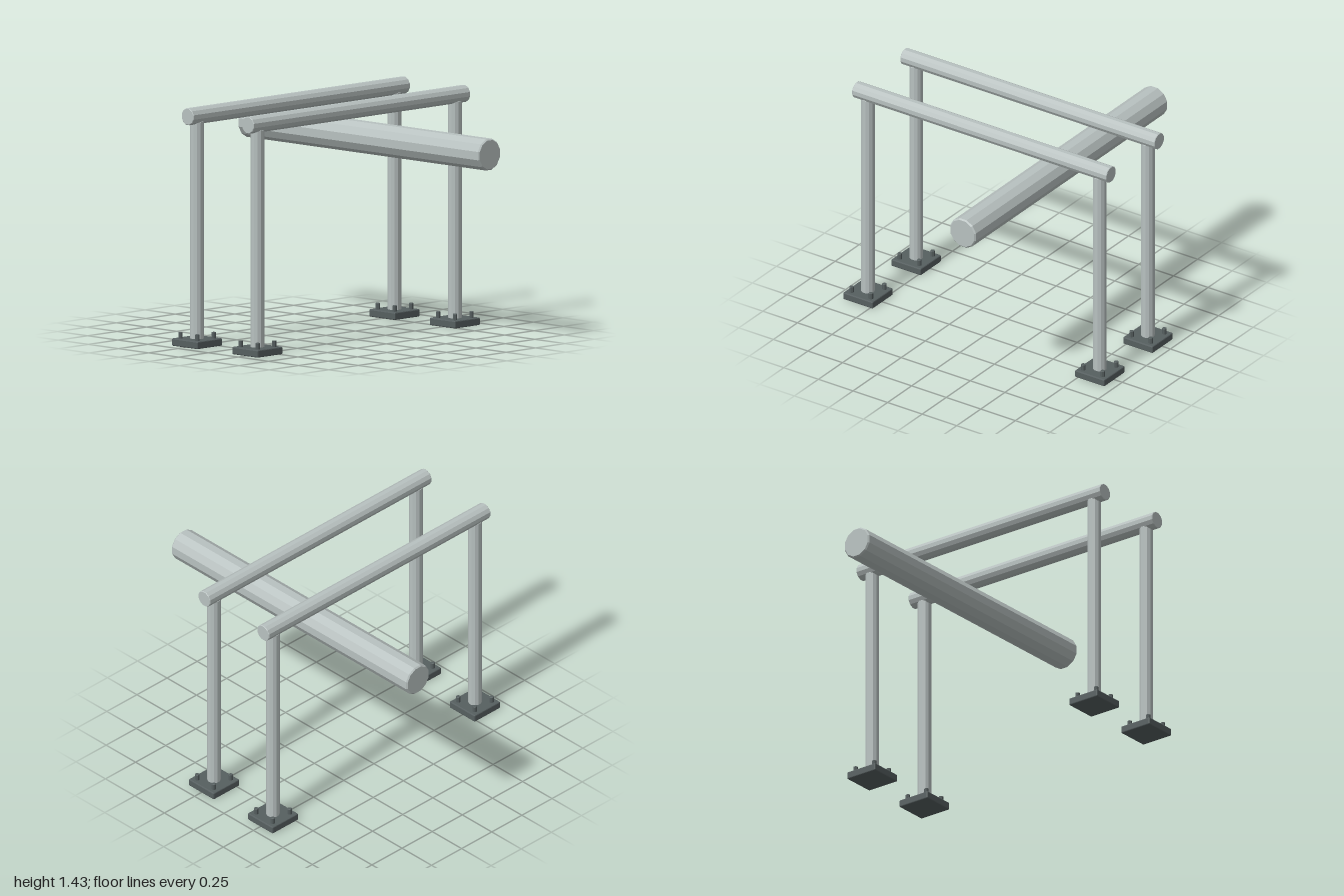
import * as THREE from 'three';
import { RoundedBoxGeometry } from 'three/addons/geometries/RoundedBoxGeometry.js';

const steel = new THREE.MeshStandardMaterial({ color: 0xb8c1c0 });
steel.name = 'galvanised steel';
const darkIron = new THREE.MeshStandardMaterial({ color: 0x565f60 });
darkIron.name = 'dark iron';

// Faceted look: separate faces with their own normals
function faceted(geometry) {
  const g = geometry.index ? geometry.toNonIndexed() : geometry;
  g.computeVertexNormals();
  return g;
}

// Upright bar with chamfered ends, centred on the origin, flats facing the axes
function bar(radius, length, chamfer, sides = 12) {
  const h = length / 2;
  const profile = [
    [0, -h], [radius - chamfer, -h], [radius, -h + chamfer],
    [radius, h - chamfer], [radius - chamfer, h], [0, h],
  ].map(([x, y]) => new THREE.Vector2(x, y));
  return new THREE.LatheGeometry(profile, sides, Math.PI / sides);
}

function add(parent, name, geometry, material, x, y, z) {
  const mesh = new THREE.Mesh(geometry, material);
  mesh.name = name;
  mesh.position.set(x, y, z);
  parent.add(mesh);
  return mesh;
}

export function createModel() {
  const model = new THREE.Group();
  model.name = 'pipeRack';

  const postGeo = faceted(bar(0.0412, 1.31, 0.005));
  const railGeo = faceted(bar(0.0515, 1.84, 0.003).rotateZ(Math.PI / 2));
  const pipeGeo = faceted(bar(0.0965, 2, 0.008).rotateX(Math.PI / 2));
  const plateGeo = faceted(new RoundedBoxGeometry(0.213, 0.045, 0.213, 1, 0.006));
  const boltGeo = faceted(bar(0.014, 0.05, 0.002, 8));

  for (const z of [-0.25, 0.25]) {
    const frame = new THREE.Group();
    frame.name = z > 0 ? 'frontFrame' : 'backFrame';
    frame.position.z = z;
    model.add(frame);

    // Cross rail on top of two posts
    add(frame, 'rail', railGeo, steel, 0, 1.381, 0);
    for (const x of [-0.838, 0.838]) {
      add(frame, x > 0 ? 'leftPost' : 'rightPost', postGeo, steel, x, 0.695, 0);

      // Bolted foot
      const foot = new THREE.Group();
      foot.name = x > 0 ? 'leftFoot' : 'rightFoot';
      foot.position.x = x;
      frame.add(foot);
      add(foot, 'basePlate', plateGeo, darkIron, 0, 0.0225, 0);
      for (const bx of [-0.07, 0.07])
        for (const bz of [-0.07, 0.07]) add(foot, 'bolt', boltGeo, darkIron, bx, 0.057, bz);
    }
  }

  // Long pipe running below the rails
  add(model, 'pipe', pipeGeo, steel, 0.367, 1.147, 0);

  return model;
}
